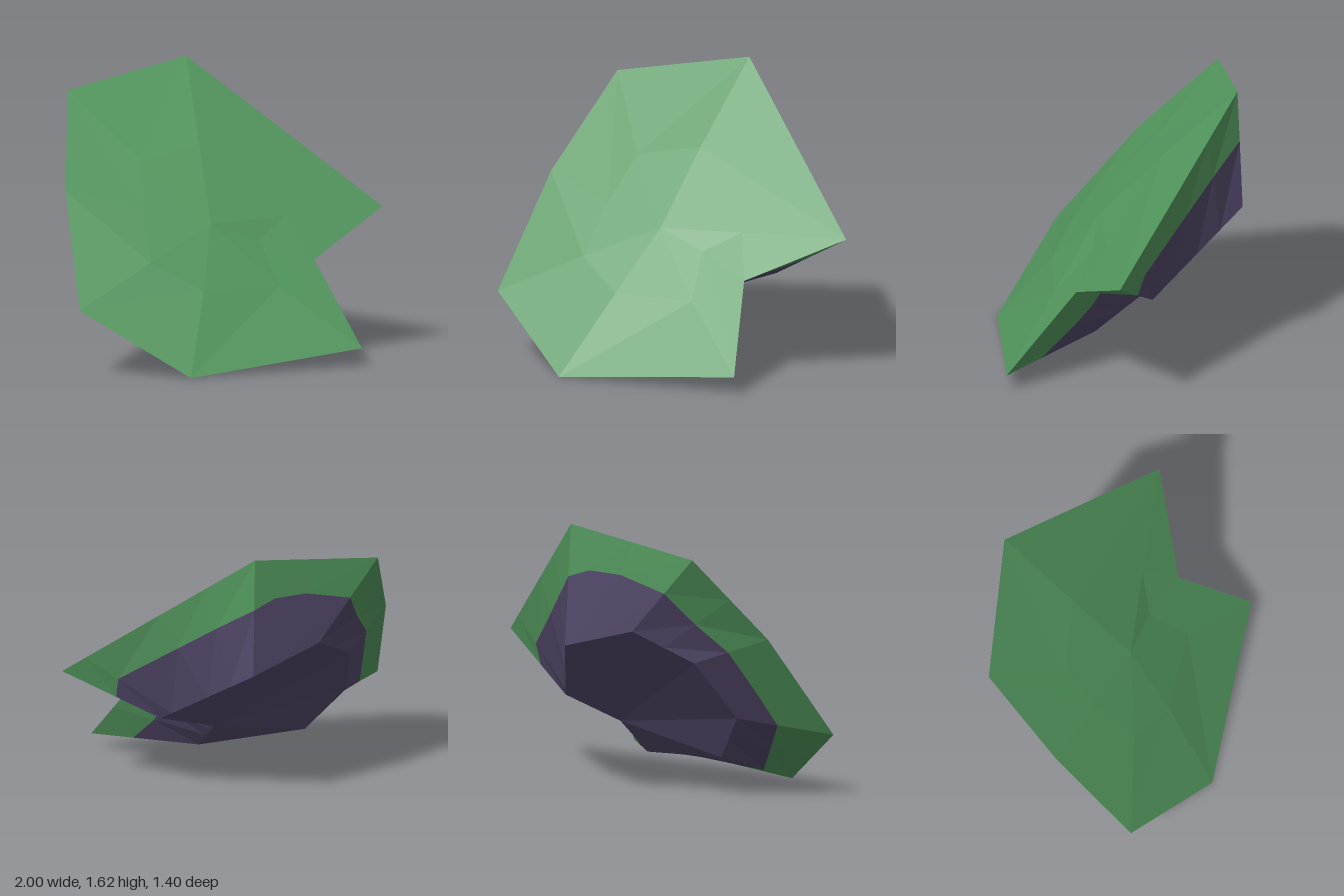
import * as THREE from 'three';

const V = (a) => new THREE.Vector3(...a);

// Outer rim of the slab, clockwise as seen from the front
const rim = [
  [0.06, 1.62, -0.67], [1.0, 0.80, -0.03], [0.485, 0.56, 0.23], [0.62, 0.10, 0.62],
  [-0.45, 0.0, 0.70], [-1.0, 0.37, 0.38], [-0.90, 0.98, -0.09], [-0.71, 1.485, -0.54],
].map(V);

// Gently raised ring inside the rim, and its middle
const crown = [
  [-0.03, 1.18, -0.24], [0.38, 0.79, 0.05], [0.18, 0.68, 0.15], [0.22, 0.44, 0.36],
  [-0.25, 0.44, 0.39], [-0.52, 0.60, 0.26], [-0.48, 0.87, 0.03], [-0.40, 1.11, -0.18],
].map(V);
const crownCentre = V([-0.1, 0.78, 0.12]);

// Smaller ring of the rocky underside
const base = [
  [0.08, 0.92, -0.70], [0.47, 0.51, -0.20], [0.13, 0.39, -0.13], [0.14, 0.17, 0.13],
  [-0.46, 0.225, 0.04], [-0.67, 0.495, -0.08], [-0.594, 0.85, -0.376], [-0.337, 1.04, -0.615],
].map(V);

// Where the grass ends on each side: [fraction along the side, fraction down it]
const grassLine = [
  [[0, 0.43], [0.25, 0.41], [0.5, 0.40], [0.88, 0.38], [1, 0.55]],
  [[0, 0.55], [0.5, 0.58], [1, 0.37]],
  [[0, 0.37], [0.2, 0.42], [0.5, 0.44], [1, 0.39]],
  [[0, 0.39], [0.5, 0.38], [0.8, 0.33], [1, 0.40]],
  [[0, 0.40], [0.5, 0.50], [1, 0.58]],
  [[0, 0.58], [0.5, 0.55], [1, 0.54]],
  [[0, 0.54], [0.5, 0.52], [1, 0.47]],
  [[0, 0.47], [0.5, 0.34], [0.8, 0.35], [1, 0.43]],
];

// Flat polygon fans gathered into one unshared-vertex geometry
function facetMesh(name, polygons, material) {
  const points = [];
  for (const p of polygons) {
    for (let i = 1; i < p.length - 1; i++) points.push(p[0], p[i], p[i + 1]);
  }
  const geometry = new THREE.BufferGeometry().setFromPoints(points);
  geometry.computeVertexNormals();
  const mesh = new THREE.Mesh(geometry, material);
  mesh.name = name;
  return mesh;
}

export function createModel() {
  const grass = new THREE.MeshStandardMaterial({ color: 0x52965d });
  grass.name = 'grass green';
  const rock = new THREE.MeshStandardMaterial({ color: 0x524869 });
  rock.name = 'rock purple';

  const top = [], grassSides = [], rockSides = [];
  for (let i = 0; i < rim.length; i++) {
    const j = (i + 1) % rim.length;
    top.push([rim[j], rim[i], crown[i], crown[j]], [crownCentre, crown[j], crown[i]]);

    // Split each side into a grass band above and a rock band below
    const at = (s, t) => rim[i].clone().lerp(rim[j], s)
      .lerp(base[i].clone().lerp(base[j], s), t);
    const line = grassLine[i];
    for (let k = 0; k < line.length - 1; k++) {
      const [s0, t0] = line[k], [s1, t1] = line[k + 1];
      grassSides.push([at(s0, 0), at(s1, 0), at(s1, t1), at(s0, t0)]);
      rockSides.push([at(s0, t0), at(s1, t1), at(s1, 1), at(s0, 1)]);
    }
  }
  // Underside bends along one crease
  const underside = [[2, 5, 6, 7, 0, 1], [2, 3, 4, 5]].map((f) => f.map((n) => base[n]));

  const group = new THREE.Group();
  group.name = 'tiltedGrassRock';
  group.add(
    facetMesh('grassTop', top, grass),
    facetMesh('grassSides', grassSides, grass),
    facetMesh('rockSides', rockSides, rock),
    facetMesh('rockUnderside', underside, rock),
  );
  return group;
}
